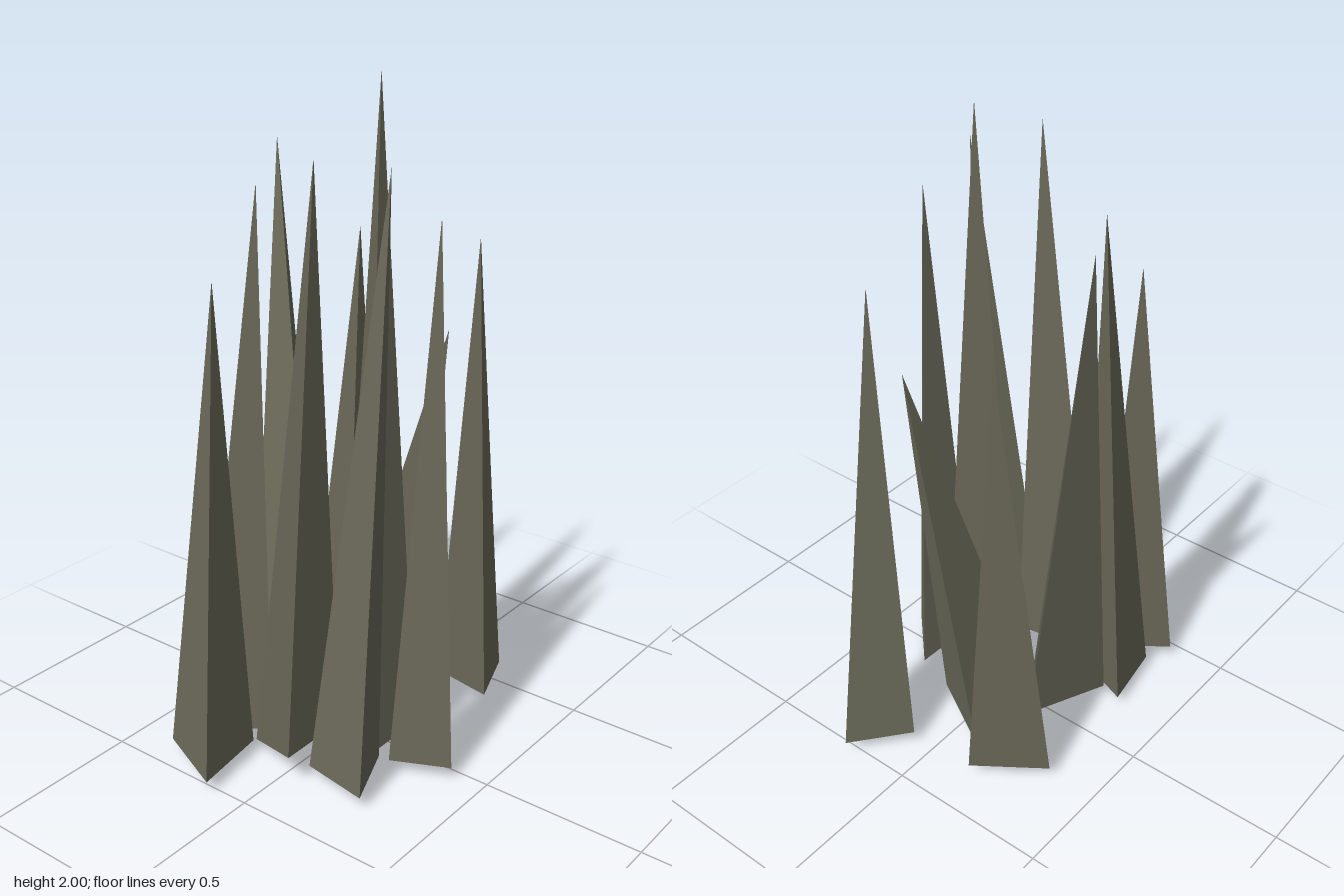
import * as THREE from 'three';

const stone = new THREE.MeshStandardMaterial({ color: 0x6a6959, flatShading: true });
stone.name = 'darkStone';

const BASE = 0.045; // usual height of the spike bottoms

// One three-sided spike: apex [x, y, z] over three base corners [x, z, y?]
function spike(name, apex, base) {
  const tip = new THREE.Vector3(...apex);
  const [a, b, c] = base.map(([x, z, y = BASE]) => new THREE.Vector3(x, y, z));
  const mid = new THREE.Vector3().add(tip).add(a).add(b).add(c).multiplyScalar(0.25);
  const points = [];
  for (const [p, q, r] of [[a, b, tip], [b, c, tip], [c, a, tip], [a, b, c]]) {
    // turn every face outward from the middle of the spike
    const normal = q.clone().sub(p).cross(r.clone().sub(p));
    const outward = normal.dot(p.clone().sub(mid)) > 0;
    points.push(...(outward ? [p, q, r] : [p, r, q]));
  }
  const geometry = new THREE.BufferGeometry().setFromPoints(points);
  geometry.computeVertexNormals();
  const mesh = new THREE.Mesh(geometry, stone);
  mesh.name = name;
  return mesh;
}

export function createModel() {
  const group = new THREE.Group();
  group.name = 'stoneSpikes';
  group.add(
    // back row
    spike('backRightSpike', [-0.315, 1.465, -0.23], [[-0.44, -0.34], [-0.54, -0.108], [-0.297, -0.143]]),
    spike('backInnerSpike', [-0.126, 1.7, -0.232], [[-0.35, -0.305], [-0.14, -0.34], [-0.215, -0.14]]),
    spike('backLeaningSpike', [0.172, 1.76, -0.41], [[-0.155, -0.275], [-0.135, -0.015], [0.09, -0.165]]),
    spike('backLeftSpike', [0.36, 1.48, -0.248], [[0.233, -0.355], [0.375, -0.158], [0.13, -0.123]]),
    // middle row
    spike('middleRightSpike', [-0.27, 1.83, 0.09], [[-0.27, -0.155, 0.03], [-0.38, 0.066, 0.115], [-0.147, 0.066, 0.115]]),
    spike('tallestSpike', [0.073, 2, 0.042], [[-0.04, -0.022], [0.083, 0.18], [-0.167, 0.18]]),
    spike('shortLeaningSpike', [0.265, 1.255, 0.147], [[-0.014, -0.1], [0.293, -0.12], [0.155, 0.118]]),
    // front row
    spike('frontRightSpike', [-0.123, 1.8, 0.223], [[-0.295, 0.073], [-0.33, 0.285], [-0.13, 0.203]]),
    spike('frontSpike', [-0.025, 1.667, 0.312], [[-0.13, 0.239], [0.08, 0.28, 0], [-0.05, 0.407]]),
    spike('frontLeftSpike', [0.323, 1.525, 0.207], [[0.375, 0.06], [0.54, 0.193], [0.34, 0.265]])
  );
  return group;
}
